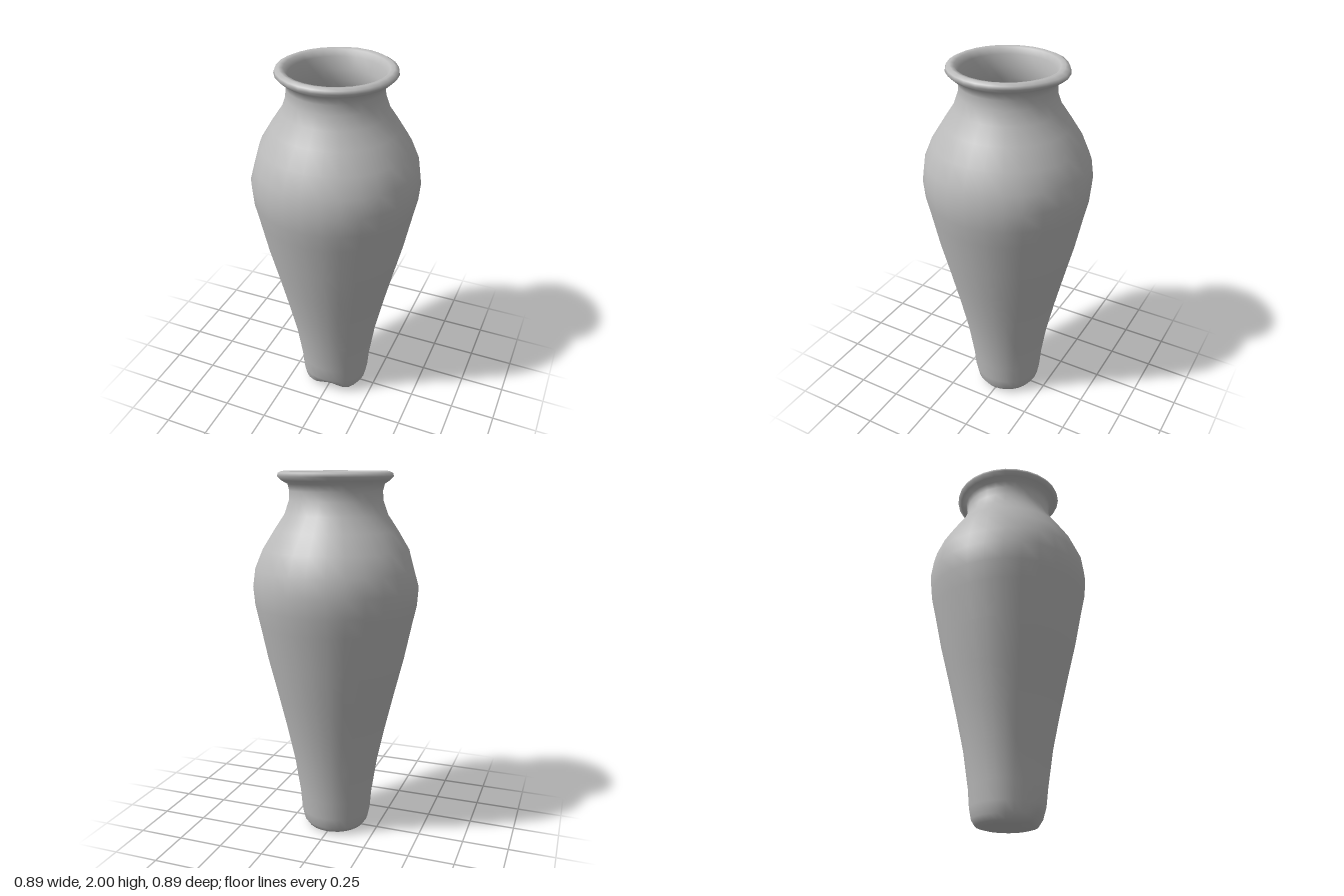
import * as THREE from 'three';
import { mergeVertices } from 'three/addons/utils/BufferGeometryUtils.js';

// Smooth bump that is 1 at the centre and fades with distance
const bump = (p, x, y, z, rx, ry, rz) =>
  Math.exp(-(((p.x - x) / rx) ** 2) - ((p.y - y) / ry) ** 2 - ((p.z - z) / rz) ** 2);

export function createModel() {
  const group = new THREE.Group();
  group.name = 'vase';
  const clay = new THREE.MeshStandardMaterial({ color: 0xbcbcbc });
  clay.name = 'grey clay';

  // Outer wall from the base to the neck
  const outer = [
    [0, 0], [0.13, 0], [0.165, 0.01], [0.185, 0.04], [0.197, 0.1], [0.205, 0.2],
    [0.235, 0.4], [0.278, 0.6], [0.325, 0.8], [0.374, 1.0], [0.415, 1.2],
    [0.437, 1.3], [0.446, 1.4], [0.432, 1.5], [0.39, 1.6], [0.327, 1.7],
    [0.273, 1.78], [0.248, 1.85], [0.245, 1.9],
  ];
  // Flared, rounded lip
  const lip = [
    [0.254, 1.935], [0.285, 1.953], [0.304, 1.973], [0.299, 1.99], [0.28, 1.999],
    [0.258, 1.994], [0.24, 1.965],
  ];
  // Hollow inside, down to the floor
  const inner = [
    [0.228, 1.9], [0.23, 1.84], [0.252, 1.77], [0.305, 1.69], [0.368, 1.59],
    [0.41, 1.49], [0.422, 1.4], [0.413, 1.3], [0.39, 1.2], [0.35, 1.0],
    [0.3, 0.8], [0.253, 0.6], [0.21, 0.4], [0.18, 0.2], [0.165, 0.11],
    [0.13, 0.07], [0, 0.05],
  ];
  const points = [...outer, ...lip, ...inner].map(([r, y]) => new THREE.Vector2(r, y));

  let body = new THREE.LatheGeometry(points, 28);
  body.deleteAttribute('uv');
  body.deleteAttribute('normal');
  body = mergeVertices(body, 1e-4);

  // Hand-made unevenness: chipped foot, dented shoulder, drawn-out lip
  const pos = body.attributes.position;
  const p = new THREE.Vector3();
  for (let i = 0; i < pos.count; i++) {
    p.fromBufferAttribute(pos, i);
    const chip = bump(p, 0.02, 0.0, 0.18, 0.1, 0.08, 0.06);
    const dent = bump(p, -0.4, 1.5, 0.12, 0.15, 0.07, 0.2);
    const spout = bump(p, 0.02, 1.97, -0.3, 0.12, 0.04, 0.05);
    p.z -= 0.025 * chip + 0.018 * spout;
    p.y += 0.035 * chip;
    p.x += 0.018 * dent;
    if (p.y > 1.94) p.x += 0.004;
    pos.setXYZ(i, p.x, p.y, p.z);
  }
  body.computeVertexNormals();

  const mesh = new THREE.Mesh(body, clay);
  mesh.name = 'vaseBody';
  group.add(mesh);
  return group;
}
